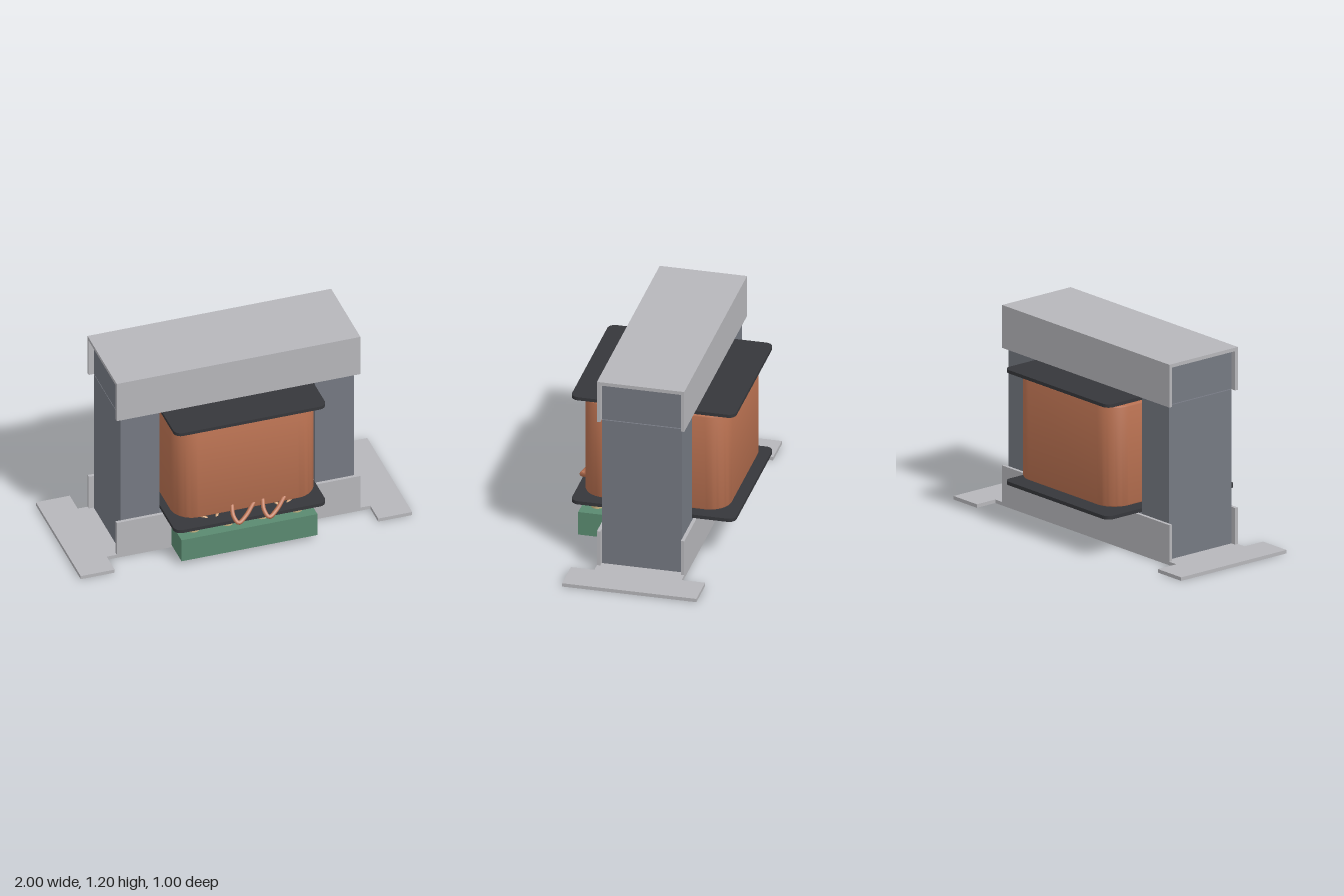
import * as THREE from 'three';
import { toCreasedNormals } from 'three/addons/utils/BufferGeometryUtils.js';

const mat = (color) => new THREE.MeshStandardMaterial({ color });

export function createModel() {
  const model = new THREE.Group();
  const steel = mat(0x757982), bracket = mat(0xb6b6ba), black = mat(0x36373b);
  const copper = mat(0xb87050), wax = mat(0xcfa074), green = mat(0x5a8a70), brass = mat(0xc8b280);
  const ZC = -0.016; // middle of the core stack

  const add = (name, geometry, material, x = 0, y = 0, z = 0) => {
    const mesh = new THREE.Mesh(geometry, material);
    mesh.name = name;
    mesh.position.set(x, y, z);
    model.add(mesh);
    return mesh;
  };
  // box given by its lower and upper limits
  const box = (name, material, x0, x1, y0, y1, z0, z1) =>
    add(name, new THREE.BoxGeometry(x1 - x0, y1 - y0, z1 - z0), material,
      (x0 + x1) / 2, (y0 + y1) / 2, (z0 + z1) / 2);
  const polygon = (pts) => new THREE.Shape(pts.map(([x, y]) => new THREE.Vector2(x, y)));

  // upright slab with rounded corners, half sizes w and d, and a small bevel
  const roundedSlab = (name, material, w, d, r, y0, y1, b) => {
    w -= b; d -= b;
    const s = new THREE.Shape();
    s.moveTo(-w + r, -d);
    s.absarc(w - r, -d + r, r, -Math.PI / 2, 0);
    s.absarc(w - r, d - r, r, 0, Math.PI / 2);
    s.absarc(-w + r, d - r, r, Math.PI / 2, Math.PI);
    s.absarc(-w + r, -d + r, r, Math.PI, Math.PI * 1.5);
    const g = new THREE.ExtrudeGeometry(s, {
      depth: y1 - y0 - 2 * b, curveSegments: 8,
      bevelEnabled: b > 0, bevelSize: b, bevelThickness: b, bevelSegments: 2,
    });
    g.rotateX(-Math.PI / 2);
    add(name, toCreasedNormals(g, 0.6), material, 0, y0 + b, ZC);
  };

  // laminated core: E-shaped stack closed by a straight yoke
  const eShape = polygon([
    [-0.705, 0.022], [0.705, 0.022], [0.705, 0.945], [0.47, 0.945], [0.47, 0.245], [0.235, 0.245],
    [0.235, 0.945], [-0.235, 0.945], [-0.235, 0.245], [-0.47, 0.245], [-0.47, 0.945], [-0.705, 0.945],
  ]);
  add('coreStack', new THREE.ExtrudeGeometry(eShape, { depth: 0.47, bevelEnabled: false }),
    steel, 0, 0, ZC - 0.235);
  box('coreYoke', steel, -0.705, 0.705, 0.95, 1.176, ZC - 0.235, ZC + 0.235);

  // top clamp: channel open downwards and at both ends
  const channel = polygon([
    [-0.257, 0.945], [-0.237, 0.945], [-0.237, 1.181], [0.237, 1.181],
    [0.237, 0.945], [0.257, 0.945], [0.257, 1.202], [-0.257, 1.202],
  ]);
  const clamp = new THREE.ExtrudeGeometry(channel, { depth: 1.47, bevelEnabled: false });
  clamp.rotateY(Math.PI / 2);
  add('topClamp', clamp, bracket, -0.735, 0, ZC);

  // base plate with T-shaped mounting feet
  const half = [[0.795, -0.257], [0.795, -0.395], [1, -0.395], [1, 0.395], [0.795, 0.395], [0.795, 0.257]];
  const plate = new THREE.ExtrudeGeometry(polygon([...half, ...half.map(([x, z]) => [-x, -z])]),
    { depth: 0.021, bevelEnabled: false });
  plate.rotateX(-Math.PI / 2);
  add('basePlate', plate, bracket, 0, 0, ZC);
  for (const s of [-1, 1]) {
    const z = ZC + s * 0.247;
    box('baseSideWall', bracket, -0.735, 0.735, 0.021, 0.24, z - 0.01, z + 0.01);
  }

  // bobbin and windings
  roundedSlab('lowerFlange', black, 0.457, 0.484, 0.045, 0.247, 0.268, 0);
  roundedSlab('upperFlange', black, 0.457, 0.484, 0.045, 0.918, 0.938, 0);
  roundedSlab('innerWinding', wax, 0.346, 0.346, 0.09, 0.27, 0.917, 0.01);
  roundedSlab('outerWinding', copper, 0.43, 0.43, 0.12, 0.292, 0.896, 0.01);

  // terminal block with four pins
  box('terminalBlock', green, -0.41, 0.41, 0.028, 0.173, 0.258, 0.433);
  for (const x of [-0.31, -0.104, 0.104, 0.31]) {
    add('terminalCollar', new THREE.CylinderGeometry(0.037, 0.037, 0.045, 20), brass, x, 0.195, 0.345);
    add('terminalPin', new THREE.CylinderGeometry(0.016, 0.016, 0.085, 14), brass, x, 0.255, 0.345);
  }

  // lead wires
  const wire = (name, material, radius, pts) => {
    const curve = new THREE.CatmullRomCurve3(pts.map((p) => new THREE.Vector3(...p)));
    add(name, new THREE.TubeGeometry(curve, 32, radius, 8), material);
  };
  for (const x of [-0.095, 0.09]) {
    wire('copperLead', copper, 0.013, [
      [x, 0.335, 0.4], [x - 0.01, 0.29, 0.455], [x + 0.01, 0.258, 0.488],
      [x + 0.06, 0.277, 0.465], [x + 0.135, 0.322, 0.4],
    ]);
  }
  for (const s of [-1, 1]) {
    wire('innerLead', wax, 0.009, [
      [s * 0.31, 0.285, 0.345], [s * 0.25, 0.265, 0.385], [s * 0.21, 0.247, 0.412], [s * 0.15, 0.3, 0.345],
    ]);
  }
  return model;
}
